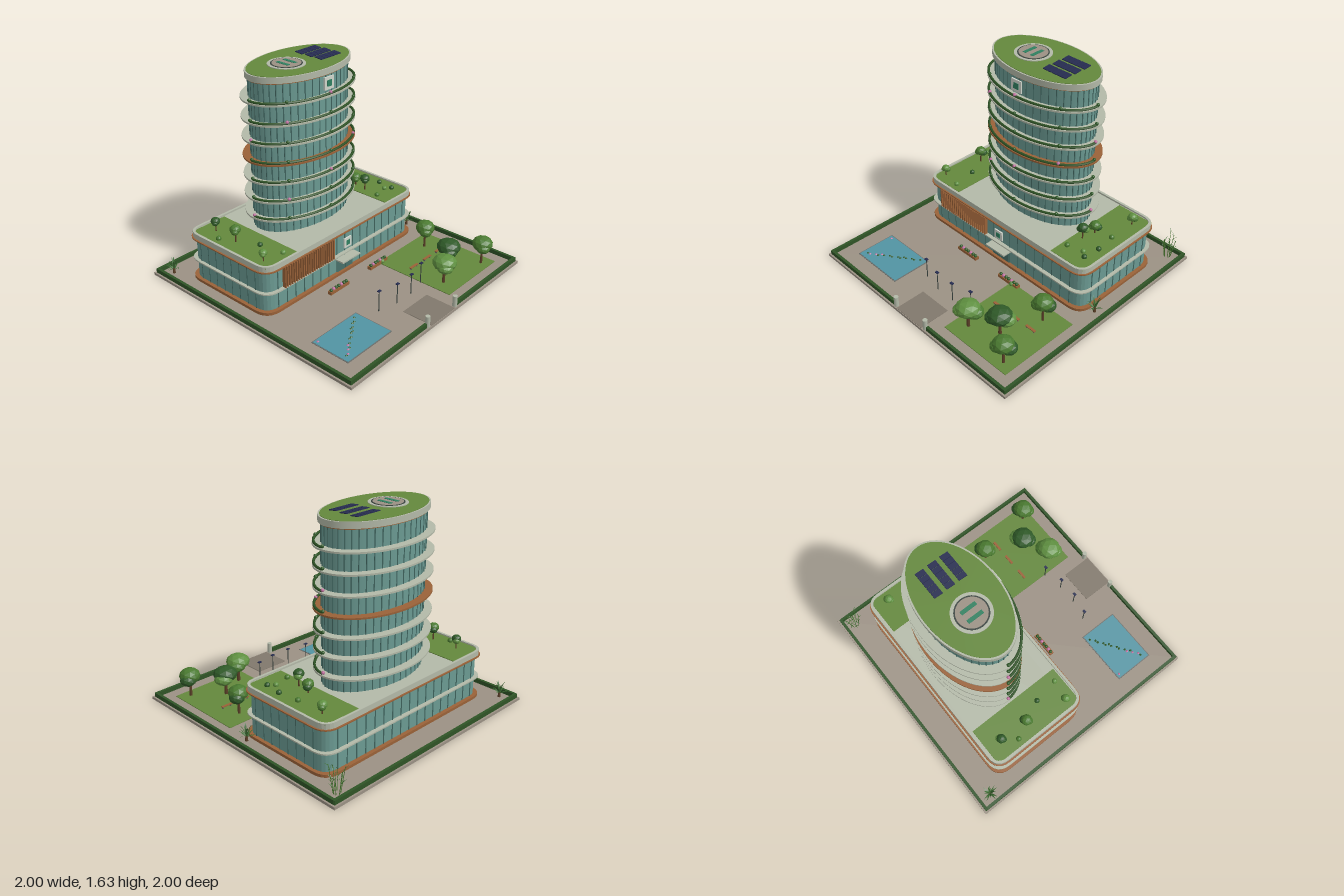
import * as THREE from 'three';
import { mergeGeometries } from 'three/addons/utils/BufferGeometryUtils.js';

const mat = (color, extra = {}) => new THREE.MeshStandardMaterial({ color, ...extra });
const M = {
  paving: mat(0x9b9184), drive: mat(0x81786c), glass: mat(0x6b9a92), mullion: mat(0x48706a),
  stone: mat(0xb3b9a8), wood: mat(0x9a6238), grass: mat(0x64883c), hedge: mat(0x2f5426),
  water: mat(0x5294a3), dark: mat(0x3a4440), panel: mat(0x262c50), sign: mat(0xd0d6cc),
  green: mat(0x2f8060), pink: mat(0xc070a0), trunk: mat(0x5c4028), metal: mat(0x6d6f6c),
  leafDark: mat(0x2f5a28, { flatShading: true }), leafMid: mat(0x4a7a30, { flatShading: true }),
  leafLight: mat(0x5f9040, { flatShading: true }),
  frond: mat(0x3a6a30, { side: THREE.DoubleSide }),
};
const TZ = -0.38;   // tower centre
const PZ = -0.335;  // podium centre

export function createModel() {
  const root = new THREE.Group();
  root.name = 'hospitalCampus';

  const add = (name, geo, material, x = 0, y = 0, z = 0, parent = root) => {
    const mesh = new THREE.Mesh(geo, material);
    mesh.name = name;
    mesh.position.set(x, y, z);
    parent.add(mesh);
    return mesh;
  };
  const box = (name, m, w, h, d, x, y, z, parent) => add(name, new THREE.BoxGeometry(w, h, d), m, x, y, z, parent);
  const group = (name, x = 0, y = 0, z = 0) => {
    const g = new THREE.Group();
    g.name = name;
    g.position.set(x, y, z);
    root.add(g);
    return g;
  };
  // elliptical drum standing on y
  const drum = (name, m, rx, rz, h, y, parent) =>
    add(name, new THREE.CylinderGeometry(1, 1, h, 64).scale(rx, 1, rz), m, 0, y + h / 2, TZ, parent);

  const roundRect = (Class, a, b, r) => {
    const s = new Class();
    s.moveTo(-a + r, -b).lineTo(a - r, -b).quadraticCurveTo(a, -b, a, -b + r);
    s.lineTo(a, b - r).quadraticCurveTo(a, b, a - r, b).lineTo(-a + r, b);
    s.quadraticCurveTo(-a, b, -a, b - r).lineTo(-a, -b + r).quadraticCurveTo(-a, -b, -a + r, -b);
    return s;
  };
  const roundSlab = (name, m, a, b, r, y, h, rim = 0) => {
    const s = roundRect(THREE.Shape, a, b, r);
    if (rim) s.holes.push(roundRect(THREE.Path, a - rim, b - rim, r - rim));
    const g = new THREE.ExtrudeGeometry(s, { depth: h, bevelEnabled: false, curveSegments: 6 });
    return add(name, g.rotateX(-Math.PI / 2), m, 0, y, PZ);
  };

  // site, drive, lawn and pool
  box('ground', M.paving, 2, 0.02, 2, 0, 0.01, 0);
  box('driveway', M.drive, 0.28, 0.004, 0.25, 0, 0.021, 0.87);
  box('lawn', M.grass, 0.62, 0.006, 0.67, 0.56, 0.022, 0.535);
  box('poolEdge', M.metal, 0.46, 0.004, 0.33, -0.605, 0.021, 0.665);
  box('poolWater', M.water, 0.445, 0.006, 0.315, -0.605, 0.022, 0.665);
  for (let i = 0; i < 16; i++) {
    const x = -0.8 + ((i * 0.618) % 1) * 0.39, z = 0.53 + ((i * 0.377) % 1) * 0.27;
    add('waterPlant', new THREE.ConeGeometry(0.011, 0.008, 5), i % 5 ? M.leafDark : M.pink, x, 0.029, z);
  }

  // perimeter hedge and gate posts
  box('hedgeBack', M.hedge, 1.97, 0.035, 0.022, 0, 0.036, -0.975);
  for (const s of [-1, 1]) {
    box('hedgeSide', M.hedge, 0.022, 0.035, 1.95, s * 0.975, 0.036, 0);
    box('hedgeFront', M.hedge, 0.8, 0.035, 0.022, s * 0.585, 0.036, 0.975);
    add('gatePost', new THREE.CylinderGeometry(0.018, 0.018, 0.09, 16), M.stone, s * 0.165, 0.06, 0.975);
  }

  // podium with floor bands and parapet
  roundSlab('podiumGlass', M.glass, 0.82, 0.4, 0.11, 0.02, 0.37);
  roundSlab('podiumBase', M.wood, 0.848, 0.43, 0.13, 0.02, 0.022);
  roundSlab('podiumBand', M.stone, 0.845, 0.43, 0.13, 0.185, 0.01);
  roundSlab('podiumEaves', M.wood, 0.848, 0.432, 0.13, 0.364, 0.008);
  roundSlab('podiumRoof', M.stone, 0.825, 0.41, 0.1, 0.372, 0.028);
  roundSlab('podiumParapet', M.stone, 0.835, 0.42, 0.11, 0.372, 0.042, 0.02);
  for (const s of [-1, 1]) box('roofGarden', M.grass, 0.31, 0.006, 0.78, s * 0.657, 0.402, PZ);

  // podium mullions
  const bars = [];
  const bar = (x, z) => bars.push(new THREE.BoxGeometry(0.007, 0.33, 0.007).translate(x, 0.203, z));
  for (let i = 0; i <= 16; i++) for (const s of [-1, 1]) bar(-0.71 + i * 0.08875, PZ + s * 0.401);
  for (let i = 0; i <= 7; i++) for (const s of [-1, 1]) bar(s * 0.821, PZ - 0.29 + i * 0.083);
  add('podiumMullions', mergeGeometries(bars), M.mullion);

  // timber screen, entrance and sign on the podium front
  for (let i = 0; i < 23; i++) box('timberFin', M.wood, 0.009, 0.165, 0.03, -0.665 + i * 0.0232, 0.28, 0.088);
  box('canopy', M.stone, 0.2, 0.012, 0.08, 0, 0.152, 0.1);
  for (const s of [-1, 1]) box('door', M.mullion, 0.085, 0.12, 0.012, s * 0.045, 0.083, 0.068);
  const sign = (name, y, z, size) => {
    box(name, M.sign, size, size, 0.012, 0, y, z);
    box(name + 'Inset', M.green, size * 0.5, size * 0.5, 0.004, 0, y, z + 0.007);
  };
  sign('podiumSign', 0.28, 0.095, 0.08);
  sign('towerSign', 1.505, -0.087, 0.095);

  // oval tower
  drum('towerGlass', M.glass, 0.445, 0.262, 1.17, 0.395);
  const posts = [];
  for (let i = 0; i < 44; i++) {
    const a = (i / 44) * Math.PI * 2;
    posts.push(new THREE.BoxGeometry(0.007, 1.17, 0.007).translate(Math.cos(a) * 0.445, 0.98, TZ + Math.sin(a) * 0.262));
  }
  add('towerMullions', mergeGeometries(posts), M.mullion);

  // balcony rings with a planted front half
  class HalfOval extends THREE.Curve {
    getPoint(t, p = new THREE.Vector3()) {
      const a = t * Math.PI;
      return p.set(Math.cos(a) * 0.497, 0, TZ + Math.sin(a) * 0.312);
    }
  }
  const oval = new HalfOval();
  const hedgeGeo = new THREE.TubeGeometry(oval, 40, 0.01, 6);
  const bushGeo = new THREE.IcosahedronGeometry(0.013, 1);
  for (let f = 0; f < 7; f++) {
    const y = 0.51 + f * 0.15;
    drum('balcony', f === 3 ? M.wood : M.stone, 0.507, 0.324, 0.013, y);
    add('balconyHedge', hedgeGeo, M.hedge, 0, y + 0.022, 0);
    for (let k = 0; k <= 4; k++) {
      const p = oval.getPoint(k / 4);
      add('balconyBush', bushGeo, (k + f) % 4 === 0 ? M.pink : M.leafDark, p.x, y + 0.03, p.z);
    }
  }

  // crown, green roof, helipad and solar panels
  drum('crownTrim', M.wood, 0.46, 0.276, 0.008, 1.558);
  drum('crown', M.stone, 0.468, 0.283, 0.045, 1.565);
  drum('greenRoof', M.grass, 0.455, 0.271, 0.004, 1.609);
  const disc = (name, m, r, h) => add(name, new THREE.CylinderGeometry(r, r, h, 40), m, -0.125, 1.612 + h / 2, TZ);
  disc('helipad', M.stone, 0.14, 0.006);
  disc('helipadRing', M.dark, 0.117, 0.008);
  disc('helipadCentre', M.paving, 0.107, 0.01);
  for (const s of [-1, 1]) box('helipadMark', M.green, 0.028, 0.004, 0.12, -0.125 + s * 0.036, 1.623, TZ);
  for (let r = 0; r < 3; r++) for (let c = 0; c < 5; c++)
    box('solarPanel', M.panel, 0.04, 0.006, 0.066, 0.115 + c * 0.043, 1.62, -0.475 + r * 0.098).rotation.x = 0.1;

  // trees: trunk plus faceted crown
  const leaves = [M.leafMid, M.leafDark, M.leafLight];
  const tree = (name, x, z, base, y, r, ry, k) => {
    const g = group(name, x, 0, z);
    add('trunk', new THREE.CylinderGeometry(r * 0.08, r * 0.13, y - base, 6), M.trunk, 0, (y + base) / 2, 0, g);
    const crown = (s, dx, dy, dz, m) =>
      add('crown', new THREE.IcosahedronGeometry(1, 1).scale(r * s, ry * s, r * s), m, dx * r, y + dy * ry, dz * r, g);
    crown(0.9, 0, 0.1, 0, leaves[k % 3]);
    crown(0.7, 0.35, -0.25, -0.25, leaves[(k + 1) % 3]);
    crown(0.6, -0.35, -0.2, 0.3, leaves[k % 3]);
  };
  [[0.69, 0.32, 0.085], [0.57, 0.63, 0.105], [0.36, 0.74, 0.105], [0.78, 0.8, 0.09]]
    .forEach(([x, z, r], i) => tree('lawnTree', x, z, 0.02, 0.19, r, 0.067, i));
  [[-0.7, -0.37, 0.505, 0.047], [-0.69, -0.6, 0.485, 0.04], [-0.75, -0.03, 0.47, 0.035],
    [0.59, -0.33, 0.47, 0.047], [0.57, -0.215, 0.5, 0.045], [0.72, -0.605, 0.47, 0.04]]
    .forEach(([x, z, y, r], i) => tree('roofTree', x, z, 0.4, y, r, r * 0.85, i));
  [[-0.76, -0.49], [-0.62, -0.2], [-0.585, 0], [0.72, -0.37], [0.74, -0.2], [0.68, -0.1], [0.55, -0.07], [0.725, -0.06]]
    .forEach(([x, z], i) => add('roofShrub', new THREE.IcosahedronGeometry(0.021, 1), leaves[i % 3], x, 0.413, z));
  add('lawnShrub', new THREE.IcosahedronGeometry(0.02, 1), M.leafLight, 0.27, 0.035, 0.22);

  // arching rosette plants
  const frondGeo = new THREE.PlaneGeometry(0.016, 1, 2, 6);
  const fp = frondGeo.attributes.position;
  for (let i = 0; i < fp.count; i++) {
    const t = fp.getY(i) + 0.5, w = fp.getX(i) * (0.4 + 2.4 * t * (1 - t)) * (1 - t * 0.8);
    fp.setXYZ(i, w, 0.11 * t - 0.05 * t * t, 0.066 * t);
  }
  frondGeo.computeVertexNormals();
  for (const [x, z] of [[-0.9, -0.88], [0.89, -0.015]]) {
    const g = group('palm', x, 0.02, z);
    add('stem', new THREE.CylinderGeometry(0.008, 0.012, 0.04, 7), M.trunk, 0, 0.02, 0, g);
    for (let i = 0; i < 14; i++) {
      const f = add('frond', frondGeo, M.frond, 0, 0.025, 0, g);
      f.rotation.y = i * 2.4;
      f.scale.set(1, i % 2 ? 1.6 : 0.6, i % 2 ? 0.65 : 1);
    }
  }

  // bamboo clump
  const clump = group('bamboo', 0.88, 0.02, -0.9);
  for (let i = 0; i < 9; i++) {
    const a = i * 2.4, h = 0.13 + (i % 4) * 0.026;
    const cane = new THREE.Group();
    cane.name = 'cane';
    cane.position.set(Math.cos(a) * 0.025, 0, Math.sin(a) * 0.025);
    cane.rotation.set(Math.sin(a) * 0.15, 0, -Math.cos(a) * 0.15);
    clump.add(cane);
    add('stalk', new THREE.CylinderGeometry(0.0018, 0.0025, h, 5), M.leafMid, 0, h / 2, 0, cane);
    for (let k = 0; k < 4; k++) {
      const leaf = add('leaf', frondGeo, M.frond, 0, h * (0.4 + k * 0.18), 0, cane);
      leaf.scale.setScalar(0.4);
      leaf.rotation.y = a + k * 2;
    }
  }

  // benches, planters and solar lamps
  for (const x of [0.37, 0.54, 0.7]) {
    box('benchSeat', M.wood, 0.09, 0.006, 0.02, x, 0.042, 0.455);
    for (const s of [-1, 1]) box('benchLeg', M.metal, 0.006, 0.02, 0.016, x + s * 0.035, 0.03, 0.455);
  }
  for (const s of [-1, 1]) {
    box('planter', M.wood, 0.205, 0.025, 0.034, s * 0.228, 0.032, 0.21);
    for (let i = 0; i < 7; i++)
      add('planterBush', new THREE.IcosahedronGeometry(0.014, 1), i % 3 === 1 ? M.pink : M.leafDark, s * 0.228 - 0.084 + i * 0.028, 0.049, 0.21);
  }
  for (const [x, z, h] of [[-0.25, 0.61, 0.19], [-0.085, 0.645, 0.185], [0.08, 0.645, 0.185], [0.245, 0.61, 0.19]]) {
    add('lampPost', new THREE.CylinderGeometry(0.003, 0.004, h - 0.02, 8), M.dark, x, 0.01 + h / 2, z);
    box('lampHead', M.panel, 0.028, 0.006, 0.02, x, h, z);
  }
  return root;
}
